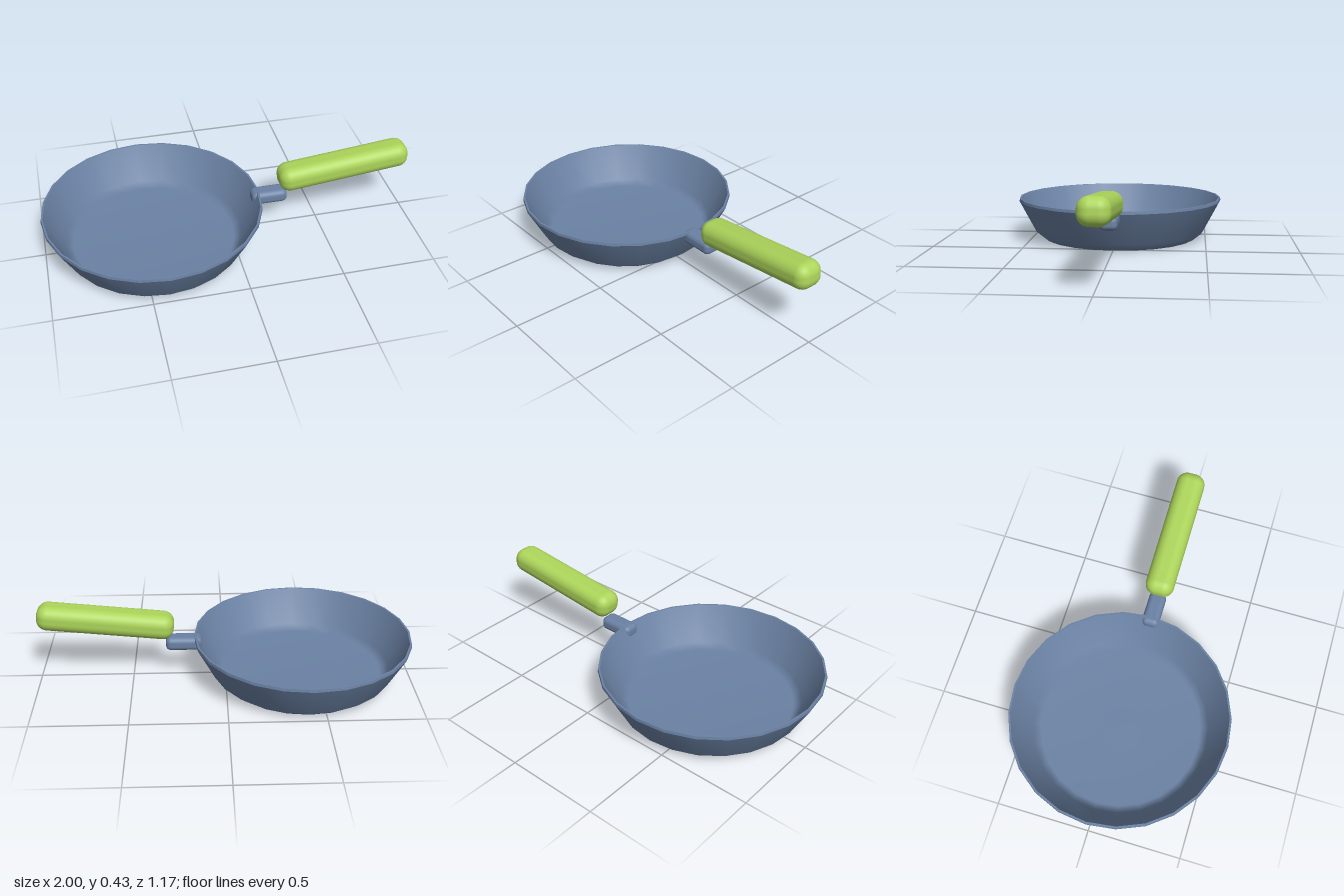
import * as THREE from 'three';
import { RoundedBoxGeometry } from 'three/addons/geometries/RoundedBoxGeometry.js';

export function createModel() {
  const model = new THREE.Group();
  model.name = 'fryingPan';
  const steel = new THREE.MeshStandardMaterial({ color: 0x6b82a4 });
  steel.name = 'slate blue';
  const grip = new THREE.MeshStandardMaterial({ color: 0xacd45a });
  grip.name = 'lime green';

  const add = (name, geometry, material, x, y, parent = model) => {
    const mesh = new THREE.Mesh(geometry, material);
    mesh.name = name;
    mesh.position.set(x, y, 0);
    parent.add(mesh);
    return mesh;
  };

  // Bowl: separate lathed bands keep the rim edges crisp
  const bowl = new THREE.Group();
  bowl.name = 'bowl';
  bowl.position.x = -0.415;
  model.add(bowl);
  const bands = {
    outside: [[0, 0], [0.44, 0], [0.49, 0.04], [0.585, 0.22]],
    rimEdge: [[0.585, 0.22], [0.583, 0.235]],
    rimTop: [[0.583, 0.235], [0.573, 0.235]],
    inside: [[0.573, 0.235], [0.475, 0.045], [0.435, 0.018], [0, 0.018]],
  };
  for (const [name, points] of Object.entries(bands)) {
    const profile = points.map(([r, y]) => new THREE.Vector2(r, y));
    add(name, new THREE.LatheGeometry(profile, 24), steel, 0, 0, bowl);
  }

  // Stub joining the bowl to the handle
  add('handleStem', new RoundedBoxGeometry(0.195, 0.074, 0.094, 4, 0.028), steel, 0.2225, 0.196);

  // Tilted handle
  const handle = add('handle', new RoundedBoxGeometry(0.725, 0.137, 0.156, 5, 0.058), grip, 0.635, 0.331);
  handle.rotation.z = 0.105;

  return model;
}
